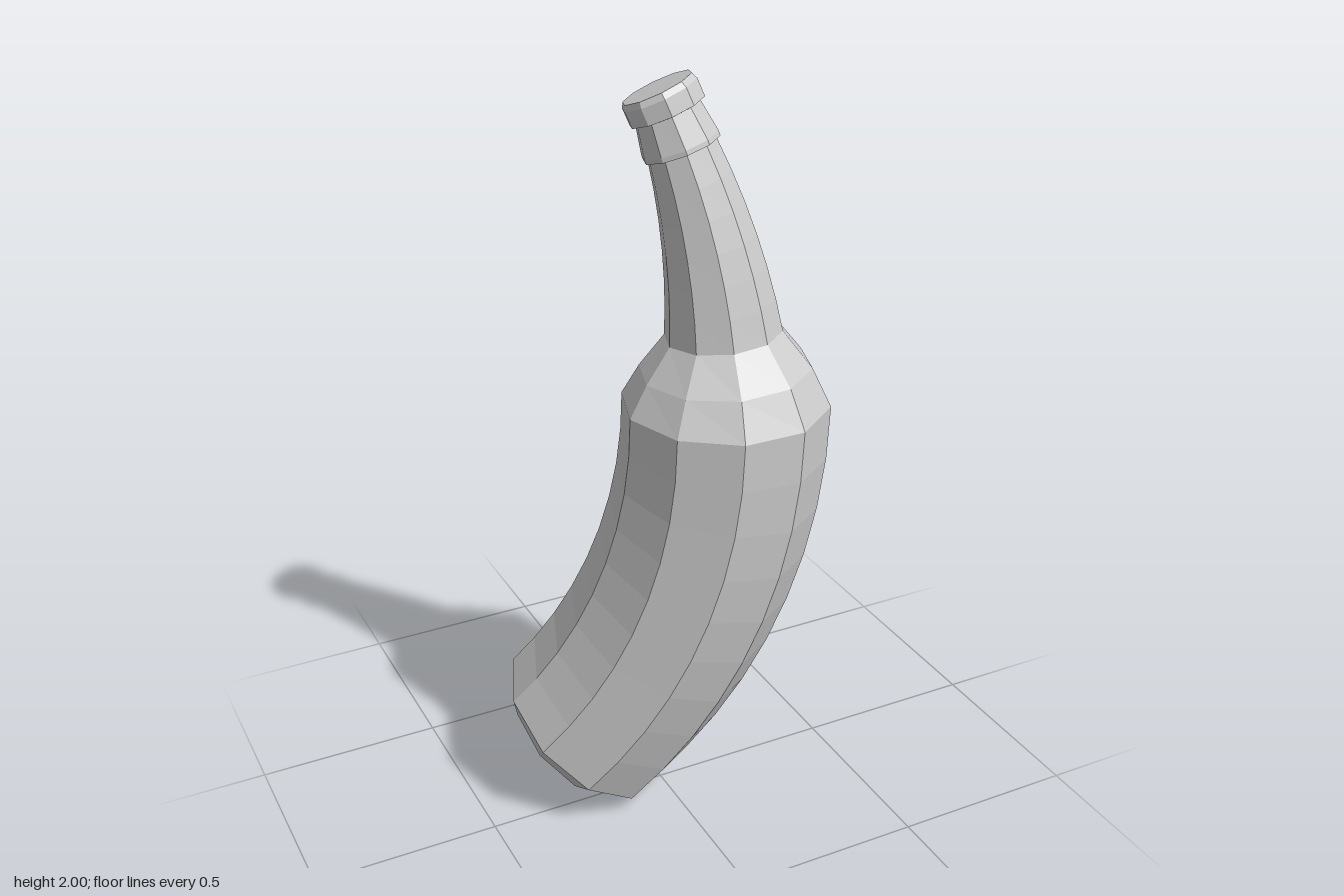
import * as THREE from 'three';

const SIDES = 10;
const BEND_DIR = THREE.MathUtils.degToRad(33.7); // heading of the outer side of the curve, from +x to +z
const ORIGIN = new THREE.Vector3(0.132, 1.187, 0.097); // where the axis is vertical
const BODY_RADIUS = 1.524; // bend radius below the shoulder
const NECK_RADIUS = 1.85; // gentler bend above it

// Curls a straight lathe (y = distance along the axis) around the bend
function bend(geometry) {
  const p = geometry.attributes.position;
  const c = Math.cos(BEND_DIR), s = Math.sin(BEND_DIR);
  for (let i = 0; i < p.count; i++) {
    const x = p.getX(i), y = p.getY(i), z = p.getZ(i);
    const R = y < 0 ? BODY_RADIUS : NECK_RADIUS;
    const out = x * c + z * s;
    const across = -x * s + z * c;
    const a = y / R;
    const u = (R + out) * Math.cos(a) - R;
    p.setXYZ(i,
      ORIGIN.x + u * c - across * s,
      ORIGIN.y + (R + out) * Math.sin(a),
      ORIGIN.z + u * s + across * c);
  }
  geometry.computeVertexNormals();
  return geometry;
}

// Straight run of profile points from [r, y] to [r, y]
function run(a, b, steps) {
  const points = [];
  for (let i = 0; i <= steps; i++) {
    const t = i / steps;
    points.push([a[0] + (b[0] - a[0]) * t, a[1] + (b[1] - a[1]) * t]);
  }
  return points;
}

export function createModel() {
  const group = new THREE.Group();
  group.name = 'bentBottle';
  const grey = new THREE.MeshStandardMaterial({ color: 0xcccccc, flatShading: true });
  grey.name = 'light grey';

  function addPart(name, profile) {
    const points = profile.map(([r, y]) => new THREE.Vector2(r, y));
    const mesh = new THREE.Mesh(bend(new THREE.LatheGeometry(points, SIDES, Math.PI / 2)), grey);
    mesh.name = name;
    group.add(mesh);
  }

  // Flat base, chamfer and long curved body
  addPart('body', [[0, -1.146], [0.21, -1.146], ...run([0.263, -1.094], [0.263, 0], 9)]);
  // Rounded shoulder
  addPart('shoulder', [[0.263, 0], [0.216, 0.09], [0.147, 0.18]]);
  // Tapered neck
  addPart('neck', run([0.147, 0.18], [0.087, 0.65], 6));
  // Lip ring below the cap
  addPart('collar', [[0.087, 0.65], [0.097, 0.652], [0.097, 0.664], [0.082, 0.745]]);
  // Cap with a slight bevel
  addPart('cap', [[0.082, 0.742], [0.096, 0.745], [0.096, 0.788], [0.089, 0.803], [0, 0.803]]);

  return group;
}
